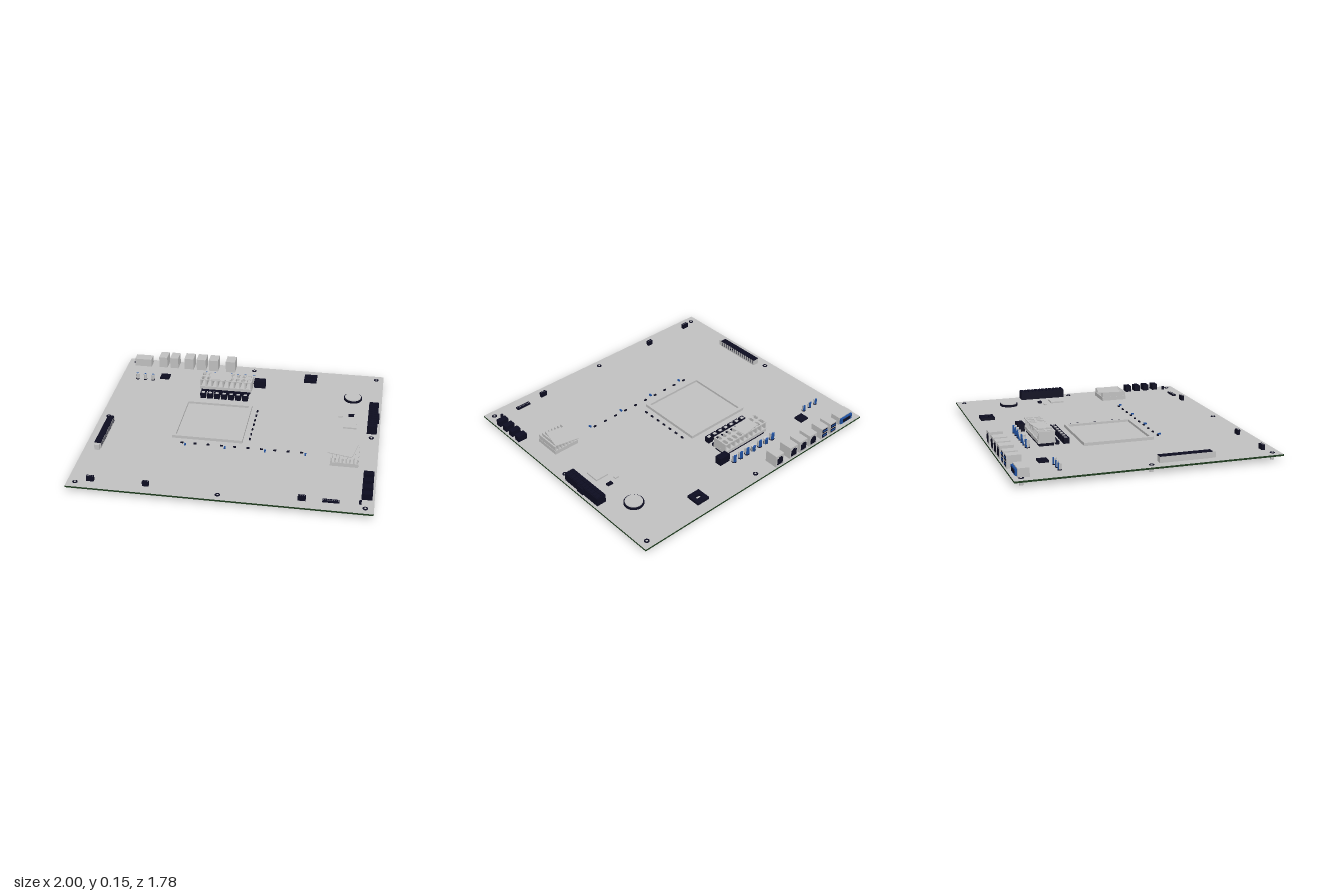
import * as THREE from 'three';

const mat = (name, color) => Object.assign(new THREE.MeshStandardMaterial({ color }), { name });

export function createModel() {
  const model = new THREE.Group();
  model.name = 'circuitBoard';
  const grey = mat('silver grey', 0xc0c0c0);
  const dark = mat('navy black', 0x0c0c20);
  const blue = mat('blue', 0x1e4f9e);
  const green = mat('board edge green', 0x1c3a1c);
  const TOP = 0.045;

  const add = (name, geo, material, x = 0, y = 0, z = 0, parent = model) => {
    const m = new THREE.Mesh(geo, material);
    m.name = name;
    m.position.set(x, y, z);
    parent.add(m);
    return m;
  };
  // box given by its limits
  const box = (name, material, x0, x1, y0, y1, z0, z1) =>
    add(name, new THREE.BoxGeometry(x1 - x0, y1 - y0, z1 - z0), material,
      (x0 + x1) / 2, (y0 + y1) / 2, (z0 + z1) / 2);
  // box standing on the board, given by centre and size
  const chip = (name, material, x, z, w, d, top) =>
    box(name, material, x - w / 2, x + w / 2, TOP, top, z - d / 2, z + d / 2);
  const cyl = (name, material, x, z, r, y0, y1, n = 20) =>
    add(name, new THREE.CylinderGeometry(r, r, y1 - y0, n), material, x, (y0 + y1) / 2, z);
  // rectangle outline for frames and sockets
  const frame = (name, material, x, z, w, d, iw, id, y0, y1) => {
    const s = new THREE.Shape([[-w, -d], [w, -d], [w, d], [-w, d]].map(p => new THREE.Vector2(p[0] / 2, p[1] / 2)));
    s.holes.push(new THREE.Path([[-iw, -id], [-iw, id], [iw, id], [iw, -id]].map(p => new THREE.Vector2(p[0] / 2, p[1] / 2))));
    const g = new THREE.ExtrudeGeometry(s, { depth: y1 - y0, bevelEnabled: false });
    g.rotateX(-Math.PI / 2);
    return add(name, g, material, x, y0, z);
  };

  // board with green edges
  add('board', new THREE.BoxGeometry(2, 0.012, 1.78), [green, green, grey, grey, green, green], 0, 0.039, 0);

  // standoffs and screw holes
  for (const x of [-0.945, 0, 0.945]) for (const z of [-0.835, 0, 0.835]) {
    if (x === 0 && z === 0) continue;
    cyl('standoff', grey, x, z, 0.013, 0, 0.033, 16);
    cyl('screwRing', dark, x, z, 0.018, TOP, 0.047, 16);
    cyl('screwHead', grey, x, z, 0.007, TOP, 0.0485, 12);
  }

  // rear video port: shell with blue insert
  box('videoPort', grey, -0.94, -0.81, TOP, 0.105, -0.855, -0.78);
  box('videoInsert', blue, -0.93, -0.815, 0.055, 0.097, -0.868, -0.855);
  box('videoFace', dark, -0.91, -0.835, 0.064, 0.088, -0.871, -0.867);

  // two-storey rear ports with blue tongues
  for (const x of [-0.715, -0.628]) {
    box('dataPort', grey, x - 0.032, x + 0.032, TOP, 0.13, -0.88, -0.785);
    for (const y of [0.069, 0.107]) {
      box('dataOpening', dark, x - 0.025, x + 0.025, y - 0.014, y + 0.014, -0.882, -0.879);
      box('dataTongue', blue, x - 0.02, x + 0.02, y - 0.002, y + 0.007, -0.885, -0.88);
    }
  }
  // network ports
  for (const x of [-0.51, -0.413, -0.317, -0.183]) {
    box('networkPort', grey, x - 0.036, x + 0.036, TOP, 0.134, -0.88, -0.785);
    box('networkOpening', dark, x - 0.025, x + 0.025, 0.06, 0.108, -0.883, -0.879);
    box('networkNotch', dark, x - 0.012, x + 0.012, 0.108, 0.118, -0.883, -0.879);
  }

  // power heatsink: base, fins, slotted cover and loose plate
  box('powerPad', dark, -0.35, 0.02, TOP, 0.067, -0.57, -0.47);
  box('powerSinkBase', grey, -0.36, 0.03, 0.067, 0.09, -0.58, -0.46);
  const pitch = 0.0433;
  for (let i = 0; i < 10; i++) {
    const x = -0.355 + i * 0.0422;
    box('powerSinkFin', grey, x - 0.005, x + 0.005, 0.09, 0.142, -0.575, -0.465);
  }
  const cover = new THREE.Shape([[-0.195, -0.06], [0.195, -0.06], [0.195, 0.06], [-0.195, 0.06]].map(p => new THREE.Vector2(...p)));
  for (let i = 0; i < 9; i++) for (const s of [-1, 1]) {
    const hole = new THREE.Path();
    const cx = (i - 4) * pitch, cy = s * 0.03;
    hole.absarc(cx, cy + 0.01, 0.013, 0, Math.PI, false);
    hole.absarc(cx, cy - 0.01, 0.013, Math.PI, Math.PI * 2, false);
    cover.holes.push(hole);
  }
  const coverGeo = new THREE.ExtrudeGeometry(cover, { depth: 0.005, bevelEnabled: false, curveSegments: 6 });
  coverGeo.rotateX(-Math.PI / 2);
  add('powerSinkCover', coverGeo, grey, -0.165, 0.142, -0.52);
  add('powerSinkPlate', new THREE.BoxGeometry(0.15, 0.004, 0.105), grey, -0.21, 0.149, -0.522).rotation.y = 0.15;

  // transistors and chokes in front of the heatsink
  for (let i = 0; i < 8; i++) chip('transistor', dark, -0.323 + i * 0.0458, -0.442, 0.03, 0.026, 0.066);
  for (let i = 0; i < 7; i++) {
    const x = -0.32 + i * 0.0527;
    chip('choke', dark, x, -0.38, 0.04, 0.038, 0.085);
    box('chokeTop', grey, x - 0.012, x + 0.012, 0.085, 0.087, -0.391, -0.37);
  }

  // capacitors: grey can with a blue marking on one side
  const capacitor = (x, z, r, h, tilt) => {
    const g = new THREE.Group();
    g.name = 'capacitor';
    g.position.set(x, TOP, z);
    g.rotation.set(-tilt, 0, -tilt);
    add('can', new THREE.CylinderGeometry(r, r, h, 18), grey, 0, h / 2, 0, g);
    add('canBase', new THREE.CylinderGeometry(r * 1.12, r * 1.12, 0.006, 18), dark, 0, 0.003, 0, g);
    add('marking', new THREE.CylinderGeometry(r * 1.04, r * 1.04, h + 0.002, 10, 1, false, Math.PI * 0.65, Math.PI * 0.7), blue, 0, h / 2, 0, g);
    model.add(g);
  };
  for (let i = 0; i < 7; i++) capacitor(-0.345 + i * 0.0605, -0.65, 0.016, 0.055, i === 1 || i === 3 ? 0.2 : 0);
  for (let i = 0; i < 3; i++) capacitor(-0.87 + i * 0.06, -0.575, 0.012, 0.045, 0);

  // processor socket
  frame('socketRim', grey, -0.183, -0.037, 0.495, 0.495, 0.45, 0.45, TOP, 0.066);
  chip('socketFloor', grey, -0.183, -0.037, 0.45, 0.45, 0.05);

  // chips and power connectors
  chip('controllerChip', dark, -0.665, -0.63, 0.07, 0.066, 0.058);
  chip('auxPowerConnector', dark, 0.077, -0.6, 0.085, 0.05, 0.102);
  frame('chipSocket', dark, 0.447, -0.76, 0.095, 0.1, 0.042, 0.028, TOP, 0.064);
  chip('smallDarkChip', dark, 0.788, -0.275, 0.042, 0.025, 0.055);
  chip('smallGreyChip', grey, 0.713, -0.252, 0.03, 0.02, 0.055);
  chip('greyChip', grey, 0.787, -0.147, 0.095, 0.1, 0.056);
  chip('mainPowerConnector', dark, 0.945, -0.22, 0.07, 0.34, 0.105);
  for (let i = 0; i < 12; i++) for (const x of [0.928, 0.962])
    chip('powerCell', dark, x, -0.376 + i * 0.0284, 0.025, 0.02, 0.11);
  box('powerLatch', dark, 0.98, 0.99, 0.05, 0.1, -0.25, -0.19);

  // coin battery in its holder ring
  cyl('batteryHolder', dark, 0.785, -0.52, 0.067, TOP, 0.06, 32);
  cyl('battery', grey, 0.785, -0.52, 0.059, TOP, 0.066, 32);

  // chipset heatsink with a turned cover plate
  box('chipsetSinkBase', grey, 0.685, 0.875, 0.047, 0.075, 0.2, 0.39);
  for (let i = 0; i < 8; i++) {
    const x = 0.692 + i * 0.0251;
    box('chipsetSinkFin', grey, x - 0.005, x + 0.005, 0.075, 0.108, 0.203, 0.387);
  }
  add('chipsetSinkPlate', new THREE.BoxGeometry(0.17, 0.005, 0.165), grey, 0.763, 0.111, 0.27).rotation.y = -0.22;

  // expansion slot
  box('slotBody', grey, -0.93, -0.885, TOP, 0.086, 0.062, 0.42);
  box('slotTop', dark, -0.93, -0.885, 0.086, 0.09, 0.062, 0.42);
  box('slotClip', grey, -0.925, -0.89, TOP, 0.085, 0.42, 0.445);
  for (let i = 0; i < 16; i++)
    box('slotRib', dark, -0.886, -0.883, 0.055, 0.086, 0.075 + i * 0.0215, 0.079 + i * 0.0215);

  // drive connectors
  for (let i = 0; i < 4; i++) {
    chip('driveConnector', dark, 0.95, 0.497 + i * 0.075, 0.07, 0.042, 0.09);
  }
  chip('jumper', dark, 0.911, 0.79, 0.016, 0.016, 0.07);

  // pin headers along the front edge
  for (const [x, z, w, d, top, n] of [[-0.85, 0.805, 0.05, 0.022, 0.08, 4], [-0.48, 0.805, 0.042, 0.022, 0.08, 4],
    [0.54, 0.805, 0.05, 0.022, 0.08, 4], [0.725, 0.795, 0.108, 0.028, 0.055, 9]]) {
    chip('pinHeader', dark, x, z, w, d, top);
    for (let i = 0; i < n; i++) {
      const px = x + ((i + 0.5) / n - 0.5) * w;
      box('pin', grey, px - 0.002, px + 0.002, top, top + 0.003, z - 0.002, z + 0.002);
    }
  }

  // tiny surface parts around the socket
  for (let i = 0; i < 7; i++) chip('resistor', dark, 0.11, -0.23 + i * 0.0635, 0.011, 0.02, 0.053);
  for (let i = 0; i < 10; i++) chip('resistor', dark, -0.35 + i * 0.0927, 0.267, 0.02, 0.011, 0.053);
  for (let i = 0; i < 4; i++) chip('blueCapacitor', blue, -0.323 + i * 0.278, 0.288, 0.011, 0.02, 0.055);

  return model;
}
